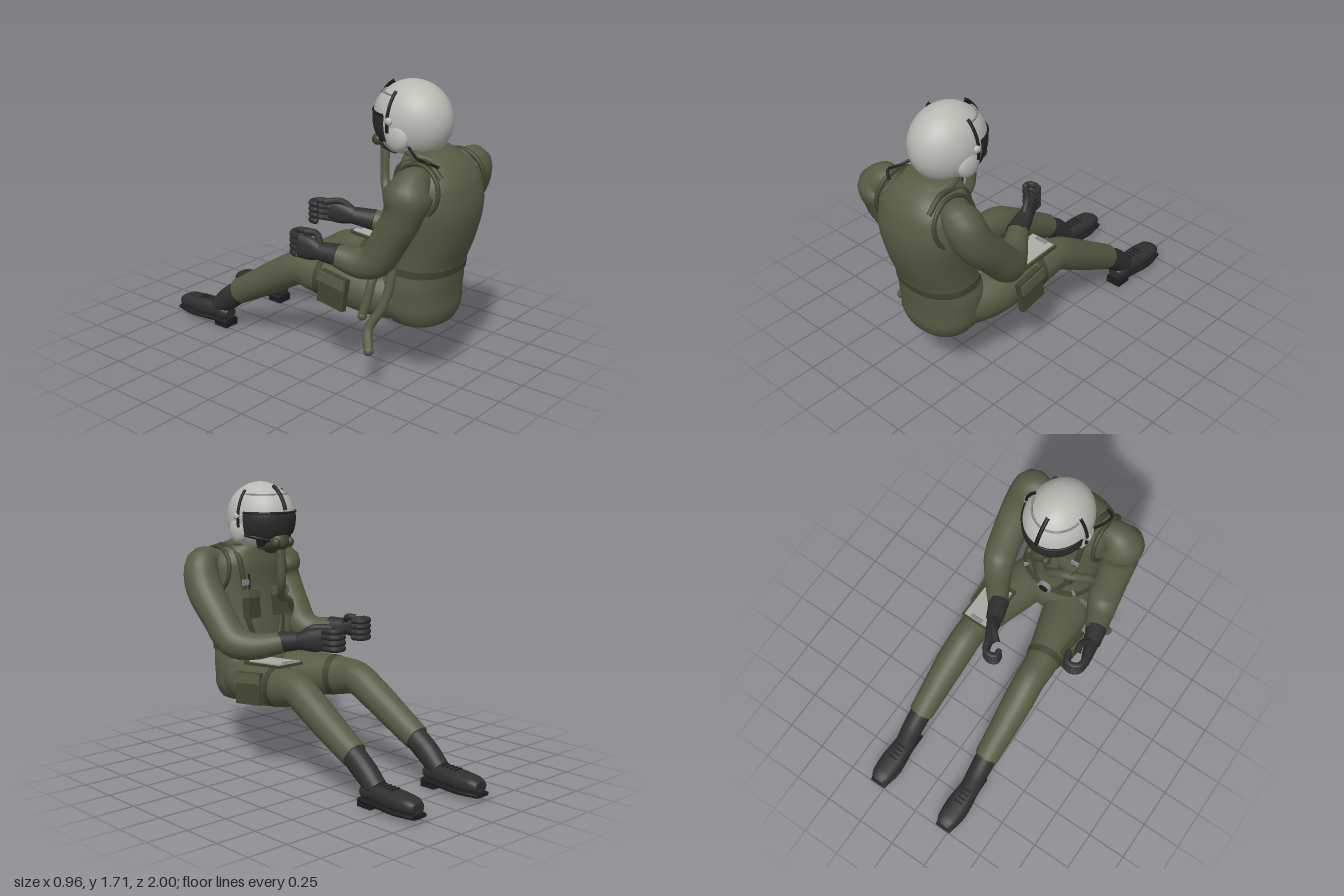
import * as THREE from 'three';
import { toCreasedNormals } from 'three/addons/utils/BufferGeometryUtils.js';

const mat = (name, color, extra = {}) => new THREE.MeshStandardMaterial({ name, color, ...extra });
const M = {
  suit: mat('olive suit', 0x575b43),
  gear: mat('dark olive gear', 0x40452f),
  black: mat('black leather', 0x2f2f30),
  trim: mat('black trim', 0x1d1d1e),
  shell: mat('pale helmet', 0xb9b9b2, { side: THREE.DoubleSide }),
  visor: mat('dark visor', 0x2b2b2a, { side: THREE.DoubleSide }),
  page: mat('pale page', 0xa9aba5),
  metal: mat('grey metal', 0x85878a),
};
const V = (a) => new THREE.Vector3(...a);
const CX = 0.04; // body centre line

export function createModel() {
  const root = new THREE.Group();
  root.name = 'seatedPilot';
  const add = (name, geo, material, parent = root) => {
    const m = new THREE.Mesh(geo, material);
    m.name = name;
    parent.add(m);
    return m;
  };
  const box = (name, size, pos, material, rot = [0, 0, 0]) => {
    const m = add(name, new THREE.BoxGeometry(...size), material);
    m.position.set(...pos);
    m.rotation.set(...rot);
    return m;
  };
  const tube = (name, pts, r, material, closed = false, seg = 40) =>
    add(name, new THREE.TubeGeometry(new THREE.CatmullRomCurve3(pts.map(V), closed), seg, r, 10, closed), material);
  const ball = (name, pos, scale, material) => {
    const m = add(name, new THREE.SphereGeometry(1, 24, 16), material);
    m.position.set(...pos);
    m.scale.set(...scale);
    return m;
  };

  // Loft through sections [x, y, z, r1, r2]; `side` is the starting side vector, `axis` fixes the section plane
  const loft = (name, secs, material, { side = [1, 0, 0], axis = null, n = 24, steps = 4, pow = 2 } = {}) => {
    const path = new THREE.CatmullRomCurve3(secs.map((s) => V(s)));
    const radii = new THREE.CatmullRomCurve3(secs.map((s) => new THREE.Vector3(s[3], s[4] ?? s[3], 0)));
    const total = (secs.length - 1) * steps, pos = [], idx = [];
    let s = V(side);
    const ring = (t, k) => {
      const c = path.getPoint(t), r = radii.getPoint(t);
      const T = axis ? V(axis) : path.getTangent(t);
      s = s.clone().addScaledVector(T, -T.dot(s)).normalize();
      const u = T.clone().cross(s);
      for (let j = 0; j < n; j++) {
        const a = (j / n) * Math.PI * 2, co = Math.cos(a), si = Math.sin(a);
        const p = c.clone()
          .addScaledVector(s, Math.sign(co) * Math.abs(co) ** (2 / pow) * r.x * k)
          .addScaledVector(u, Math.sign(si) * Math.abs(si) ** (2 / pow) * r.y * k);
        pos.push(p.x, p.y, p.z);
      }
    };
    ring(0, 0);
    for (let i = 0; i <= total; i++) ring(i / total, 1);
    ring(1, 0);
    for (let i = 0; i < total + 2; i++) for (let j = 0; j < n; j++) {
      const a = i * n + j, b = i * n + (j + 1) % n;
      idx.push(a, b, a + n, b, b + n, a + n);
    }
    const g = new THREE.BufferGeometry();
    g.setAttribute('position', new THREE.Float32BufferAttribute(pos, 3));
    g.setIndex(idx);
    return add(name, toCreasedNormals(g, 0.9), material);
  };

  // Torso and pelvis: [y, z centre, half width, half depth]
  loft('torso', [[0.32, 0.7, 0.08, 0.08], [0.36, 0.7, 0.2, 0.16], [0.45, 0.68, 0.25, 0.21], [0.58, 0.68, 0.255, 0.215],
    [0.7, 0.715, 0.235, 0.195], [0.85, 0.755, 0.245, 0.21], [1.05, 0.79, 0.268, 0.212], [1.2, 0.775, 0.262, 0.2],
    [1.29, 0.75, 0.2, 0.165], [1.35, 0.71, 0.11, 0.11]].map(([y, z, w, d]) => [CX, y, z, w, d]),
  M.suit, { axis: [0, 1, 0], n: 36, pow: 2.3 });
  loft('neck', [[CX, 1.26, 0.7, 0.1], [CX, 1.42, 0.64, 0.095]], M.gear);
  tube('collar', [...Array(12).keys()].map((i) => {
    const a = (i / 12) * Math.PI * 2;
    return [CX + 0.13 * Math.sin(a), 1.32 - 0.03 * Math.cos(a), 0.73 + 0.13 * Math.cos(a)];
  }), 0.032, M.suit, true);

  // Arms
  const arm = { side: [0, 0, 1] };
  loft('leftArm', [[0.24, 1.25, 0.8, 0.06], [0.34, 1.205, 0.8, 0.108], [0.372, 1.08, 0.755, 0.112], [0.375, 0.9, 0.6, 0.104],
    [0.36, 0.77, 0.48, 0.1], [0.3, 0.745, 0.37, 0.083], [0.19, 0.78, 0.21, 0.06]], M.suit, arm);
  loft('rightArm', [[-0.16, 1.25, 0.8, 0.06], [-0.26, 1.205, 0.8, 0.108], [-0.295, 1.08, 0.79, 0.108], [-0.305, 0.9, 0.7, 0.103],
    [-0.315, 0.775, 0.62, 0.1], [-0.345, 0.745, 0.53, 0.085], [-0.39, 0.775, 0.4, 0.062]], M.suit, arm);

  // Gloves: cuff, palm, four fingers curled inward and a thumb
  const glove = (name, wrist, knuckle, curl, dir) => {
    const mid = wrist.map((v, i) => (v * 0.55 + knuckle[i] * 0.45));
    loft(name + 'Cuff', [[...wrist, 0.064], [...mid, 0.052]], M.black, { side: [0, 1, 0] });
    loft(name + 'Palm', [[...mid, 0.05, 0.045], [...mid.map((v, i) => (v + knuckle[i]) / 2), 0.068, 0.036],
      [...knuckle, 0.068, 0.026]], M.black, { side: [0, 1, 0] });
    for (let f = 0; f < 4; f++) {
      const y = knuckle[1] - 0.052 + f * 0.035;
      const pts = [[knuckle[0], y, knuckle[2]], ...curl.map(([dx, dz]) => [knuckle[0] + dx * dir, y, knuckle[2] + dz])];
      tube(name + 'Finger', pts, 0.019, M.black, false, 14);
      ball(name + 'Fingertip', pts[pts.length - 1], [0.019, 0.019, 0.019], M.black);
    }
    tube(name + 'Thumb', [[mid[0], mid[1] + 0.03, mid[2]], [mid[0] + dir * 0.04, knuckle[1] + 0.065, (mid[2] + knuckle[2]) / 2],
      [knuckle[0] + dir * 0.06, knuckle[1] + 0.065, knuckle[2]]], 0.02, M.black, false, 14);
  };
  glove('leftGlove', [0.195, 0.78, 0.23], [0.09, 0.815, -0.03], [[0.02, -0.065], [0.06, -0.08], [0.095, -0.065], [0.095, -0.035]], -1);
  glove('rightGlove', [-0.387, 0.775, 0.42], [-0.452, 0.795, 0.19], [[0.01, -0.05], [0.05, -0.075], [0.09, -0.065], [0.105, -0.02]], 1);

  // Legs, boots and thigh gear, mirrored about the centre line
  for (const [sideName, d] of [['left', 1], ['right', -1]]) {
    const leg = (secs) => secs.map(([o, ...rest]) => [CX + d * o, ...rest]);
    loft(sideName + 'Leg', leg([[0.12, 0.49, 0.68, 0.12, 0.13], [0.165, 0.5, 0.5, 0.145, 0.14], [0.205, 0.52, 0.3, 0.125, 0.135],
      [0.235, 0.535, 0.1, 0.1, 0.115], [0.24, 0.54, -0.01, 0.095, 0.102], [0.245, 0.48, -0.13, 0.095, 0.098],
      [0.25, 0.385, -0.29, 0.088, 0.092], [0.252, 0.262, -0.5, 0.077, 0.08]]), M.suit);
    loft(sideName + 'BootShaft', leg([[0.252, 0.285, -0.46, 0.068, 0.071], [0.255, 0.2, -0.58, 0.066, 0.072],
      [0.255, 0.115, -0.68, 0.062, 0.06]]), M.black);
    loft(sideName + 'BootFoot', leg([[0.255, 0.085, -0.585, 0.04, 0.03], [0.255, 0.09, -0.62, 0.058, 0.045], [0.255, 0.095, -0.72, 0.064, 0.054],
      [0.255, 0.09, -0.85, 0.073, 0.05], [0.255, 0.085, -0.95, 0.064, 0.045], [0.255, 0.08, -0.99, 0.045, 0.03]]),
    M.black, { axis: [0, 0, -1], pow: 2.6 });
    loft(sideName + 'BootSole', leg([[0.255, 0.037, -0.58, 0.05, 0.013], [0.255, 0.037, -0.7, 0.058, 0.013],
      [0.255, 0.037, -0.86, 0.077, 0.013], [0.255, 0.037, -1, 0.052, 0.012]]), M.trim, { axis: [0, 0, -1], pow: 5 });
    box(sideName + 'BootHeel', [0.1, 0.045, 0.1], [CX + d * 0.255, 0.0225, -0.63], M.trim);
    for (let i = 0; i < 4; i++) // laces
      box(sideName + 'Lace', [0.06, 0.008, 0.01], [CX + d * 0.255, 0.147 - i * 0.001, -0.73 - i * 0.03], M.trim);
    // Outer thigh pocket and strap
    box(sideName + 'ThighPocket', [0.035, 0.19, 0.2], [CX + d * 0.335, 0.51, 0.31], M.gear, [0.08, d * 0.1, d * 0.1]);
    box(sideName + 'PocketFlap', [0.012, 0.06, 0.21], [CX + d * 0.36, 0.575, 0.31], M.suit, [0.08, d * 0.1, d * 0.1]);
    loft(sideName + 'ThighStrap', leg([[0.225, 0.53, 0.18, 0.115, 0.127], [0.231, 0.533, 0.14, 0.11, 0.122]]), M.gear);
    // Harness loop round the arm root and shoulder strap
    tube(sideName + 'ArmLoop', [...Array(10).keys()].map((i) => {
      const a = (i / 10) * Math.PI * 2;
      return [CX + d * (0.225 + 0.02 * Math.cos(a) * -1), 1.165 + 0.145 * Math.cos(a), 0.78 + 0.145 * Math.sin(a)];
    }), 0.013, M.gear, true);
    tube(sideName + 'ShoulderStrap', [[CX + d * 0.17, 1.24, 0.91], [CX + d * 0.16, 1.315, 0.8], [CX + d * 0.16, 1.26, 0.63],
      [CX + d * 0.15, 1.1, 0.59], [CX + d * 0.13, 0.85, 0.565], [CX + d * 0.08, 0.7, 0.535]], 0.016, M.gear);
    box(sideName + 'StrapBuckle', [0.05, 0.035, 0.012], [CX + d * 0.15, 1.1, 0.57], M.metal);
    // Vest pockets
    box(sideName + 'ChestPocket', [0.11, 0.17, 0.05], [CX + d * 0.11, 0.96, 0.565], M.gear, [0.1, d * 0.2, 0]);
    box(sideName + 'ChestFlap', [0.115, 0.05, 0.056], [CX + d * 0.11, 1.03, 0.565], M.suit, [0.1, d * 0.2, 0]);
    box(sideName + 'HipBuckle', [0.04, 0.03, 0.012], [CX + d * 0.17, 0.7, 0.56], M.metal, [0, d * 0.5, 0]);
  }

  // Kneeboard on the left thigh
  box('kneeboard', [0.19, 0.016, 0.32], [0.265, 0.662, 0.225], M.gear, [0.07, 0, 0]);
  box('kneeboardPage', [0.16, 0.008, 0.28], [0.265, 0.674, 0.215], M.page, [0.07, 0, 0]);
  box('kneeboardClip', [0.08, 0.014, 0.025], [0.265, 0.685, 0.09], M.metal, [0.07, 0, 0]);

  // Harness release and waist belt
  loft('waistBelt', [[CX, 0.665, 0.705, 0.248, 0.205], [CX, 0.705, 0.716, 0.244, 0.2]], M.gear, { axis: [0, 1, 0], n: 36, pow: 2.3 });
  for (const [name, r, z, m] of [['releaseRing', 0.045, 0.5, M.metal], ['releaseKnob', 0.03, 0.492, M.trim]]) {
    const disc = add(name, new THREE.CylinderGeometry(r, r, 0.025, 24), m);
    disc.rotation.x = Math.PI / 2;
    disc.position.set(CX, 0.69, z);
  }
  tube('antenna', [[0.16, 1.04, 0.57], [0.16, 1.1, 0.572], [0.16, 1.15, 0.575]], 0.007, M.trim, false, 6);

  // Helmet shells as patches of one ellipsoid
  const C = [CX, 1.49, 0.6], R = [0.193, 0.22, 0.23], F = Math.PI * 1.5;
  const patch = (name, k, p0, pl, t0, tl, m) => {
    const mesh = add(name, new THREE.SphereGeometry(1, 48, 28, p0, pl, t0, tl), m);
    mesh.position.set(...C);
    mesh.scale.set(...R.map((r) => r * k));
  };
  const at = (t, p, k) => [C[0] - R[0] * k * Math.cos(p) * Math.sin(t), C[1] + R[1] * k * Math.cos(t), C[2] + R[2] * k * Math.sin(p) * Math.sin(t)];
  patch('helmet', 1, 0, Math.PI * 2, 0, 2.45, M.shell);
  patch('visorHousing', 1.025, F - 1.35, 2.7, 0.85, 0.56, M.shell);
  patch('visor', 1.035, F - 1.3, 2.6, 1.39, 0.62, M.visor);
  patch('faceOpening', 1.006, F - 0.95, 1.9, 1.95, 0.5, M.visor);
  const steps = [...Array(13).keys()];
  tube('housingEdge', steps.map((i) => at(0.85, F - 1.35 + i * 0.225, 1.02)), 0.006, M.metal);
  tube('visorRim', steps.map((i) => at(1.39, F - 1.3 + i * 2.6 / 12, 1.035)), 0.007, M.trim);
  tube('visorTrack', steps.map((i) => at(0.55 + i * 0.065, F, 1.05)), 0.012, M.trim);
  for (const [sideName, d] of [['left', 1], ['right', -1]]) {
    const p = d > 0 ? Math.PI + 0.13 : -0.13;
    tube(sideName + 'HelmetStrap', steps.map((i) => at(0.75 + i * 0.085, p, 1.07)), 0.009, M.trim);
    ball(sideName + 'EarCup', [CX + d * 0.165, 1.42, 0.61], [0.04, 0.08, 0.075], M.shell);
    ball(sideName + 'HelmetKnob', [CX + d * 0.205, 1.51, 0.58], [0.016, 0.022, 0.022], M.shell);
    // Mask valve and strap
    ball(sideName + 'MaskValve', [CX + d * 0.055, 1.35, 0.395], [0.025, 0.032, 0.032], M.gear);
    tube(sideName + 'MaskStrap', [[CX + d * 0.05, 1.36, 0.42], [CX + d * 0.13, 1.38, 0.48], [CX + d * 0.18, 1.4, 0.57]], 0.011, M.trim, false, 12);
  }

  // Breathing mask and hoses
  loft('mask', [[CX, 1.35, 0.5, 0.09, 0.075], [CX, 1.355, 0.43, 0.075, 0.065], [CX, 1.35, 0.38, 0.045, 0.04], [CX, 1.35, 0.365, 0.02, 0.02]], M.gear);
  tube('breathingHose', [[CX, 1.35, 0.41], [0.035, 1.26, 0.415], [0.02, 1.1, 0.43], [-0.04, 1.0, 0.5], [-0.14, 0.96, 0.56], [-0.21, 0.9, 0.62],
    [-0.215, 0.7, 0.66], [-0.26, 0.5, 0.64], [-0.32, 0.35, 0.58], [-0.38, 0.26, 0.63]], 0.027, M.suit, false, 90);
  ball('hoseEnd', [-0.38, 0.26, 0.63], [0.029, 0.029, 0.029], M.suit);
  tube('suitHose', [[-0.18, 0.68, 0.56], [-0.25, 0.64, 0.56], [-0.29, 0.52, 0.55], [-0.31, 0.42, 0.53]], 0.025, M.suit);
  ball('suitHoseEnd', [-0.31, 0.42, 0.53], [0.027, 0.027, 0.027], M.suit);
  tube('radioCord', [[-0.1, 1.38, 0.66], [-0.15, 1.335, 0.76], [-0.17, 1.33, 0.84], [-0.12, 1.3, 0.88]], 0.008, M.trim, false, 20);
  return root;
}
